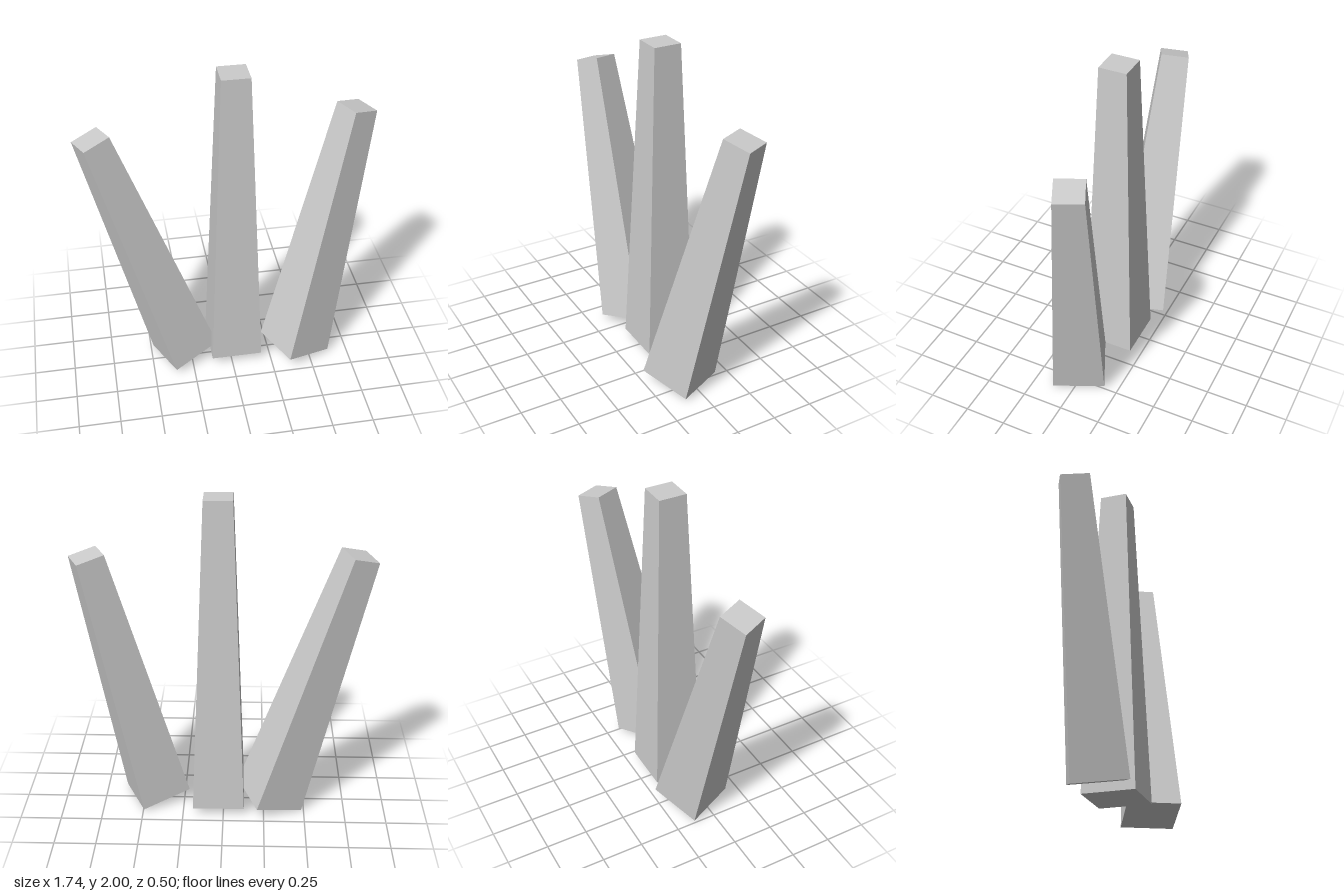
import * as THREE from 'three';

const BASE = 0.315; // width of the square foot
const TOP = 0.165;  // width of the square tip

const material = new THREE.MeshStandardMaterial({ color: 0xcccccc, flatShading: true });

// Square tapered pillar between two centre points; side is the direction of one foot edge
function pillar(name, base, top, side) {
  const from = new THREE.Vector3(...base);
  const to = new THREE.Vector3(...top);
  const length = from.distanceTo(to);

  const geometry = new THREE.BoxGeometry(BASE, length, BASE);
  const p = geometry.attributes.position;
  for (let i = 0; i < p.count; i++) {
    if (p.getY(i) > 0) {
      p.setX(i, p.getX(i) * TOP / BASE);
      p.setZ(i, p.getZ(i) * TOP / BASE);
    }
  }
  geometry.computeVertexNormals();

  const up = to.clone().sub(from).normalize();
  const z = new THREE.Vector3(...side).cross(up).normalize();
  const x = up.clone().cross(z);

  const mesh = new THREE.Mesh(geometry, material);
  mesh.name = name;
  mesh.quaternion.setFromRotationMatrix(new THREE.Matrix4().makeBasis(x, up, z));
  mesh.position.copy(from).lerp(to, 0.5);
  return mesh;
}

export function createModel() {
  const group = new THREE.Group();
  group.name = 'taperedPillars';
  group.add(
    // Upright pillar in the middle
    pillar('centerPillar', [0.03, 0.055, -0.041], [0.03, 2, -0.041], [1, 0, 0]),
    // Leaning, twisted pillars on both sides
    pillar('leftPillar', [0.421, 0.054, 0.04], [0.763, 1.68, -0.118], [0.28, -0.07, -0.13]),
    pillar('rightPillar', [-0.286, 0.062, -0.045], [-0.766, 1.665, -0.034], [0.28, 0.08, -0.125]),
  );
  return group;
}
